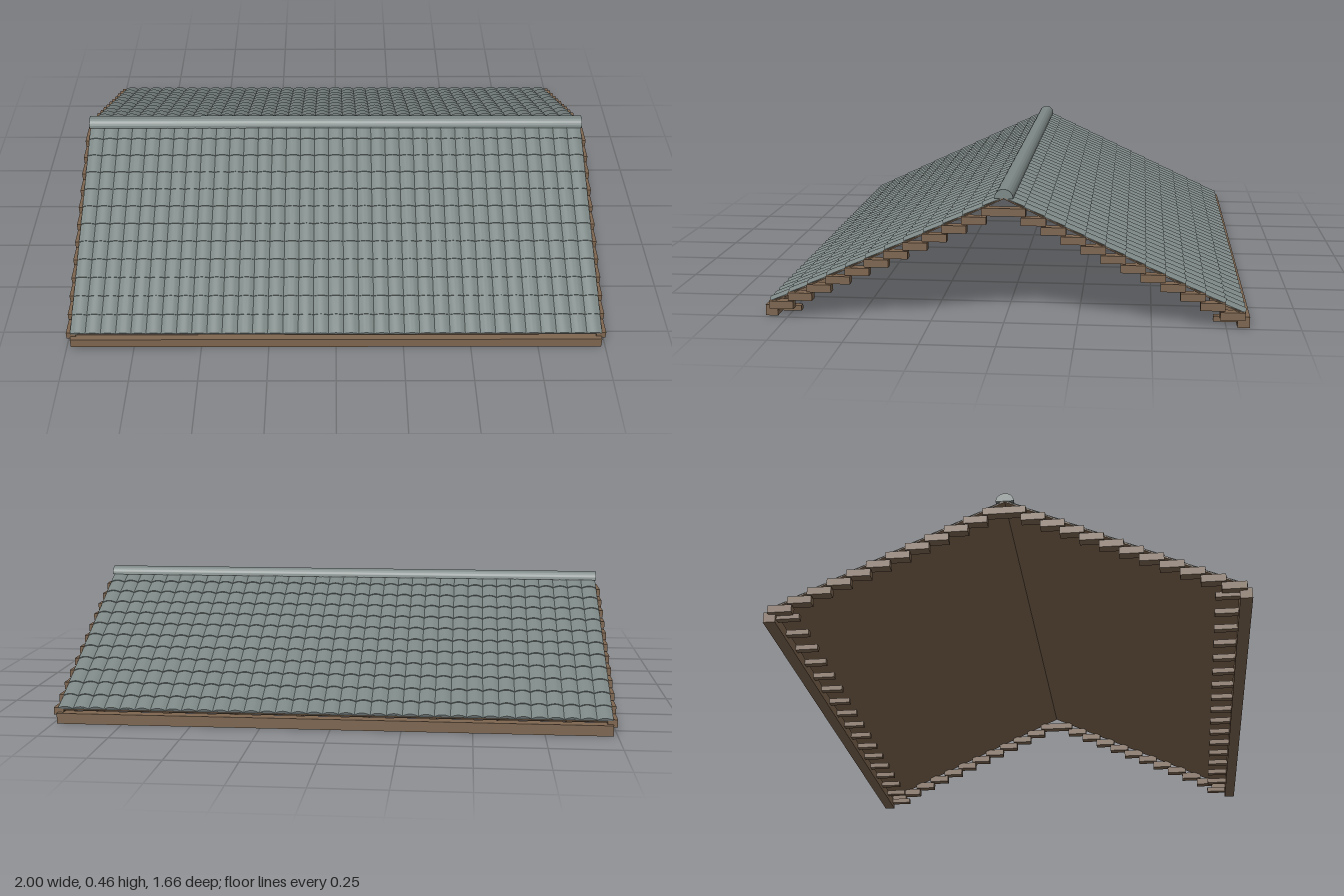
import * as THREE from 'three';
import { toCreasedNormals } from 'three/addons/utils/BufferGeometryUtils.js';

const HALF = 0.985;               // half length of the tiled roof
const PITCH = Math.atan(0.472);
const RUN = 0.81;                 // horizontal depth of one slope
const SLOPE = RUN / Math.cos(PITCH);
const ROWS = 12, COLUMNS = 35;

// One full course of tiles: a row of shallow arches pushed down the slope
function tileCourseGeometry(length) {
  const shape = new THREE.Shape();
  const w = (2 * HALF) / COLUMNS, base = 0.002, rise = 0.009, steps = 8;
  shape.moveTo(-HALF, 0);
  shape.lineTo(HALF, 0);
  for (let i = COLUMNS * steps; i >= 0; i--) {
    const u = (i % steps) / steps;
    shape.lineTo(-HALF + (i / steps) * w, base + rise * 4 * u * (1 - u));
  }
  const g = new THREE.ExtrudeGeometry(shape, { depth: length, bevelEnabled: false });
  return toCreasedNormals(g, 0.6);
}

export function createModel() {
  const tile = new THREE.MeshStandardMaterial({ color: 0x7c8785 });
  tile.name = 'slate grey tile';
  const wood = new THREE.MeshStandardMaterial({ color: 0x7d654f });
  wood.name = 'brown wood';

  const model = new THREE.Group();
  model.name = 'gableRoof';

  function add(parent, name, geometry, material, x = 0, y = 0, z = 0) {
    const mesh = new THREE.Mesh(geometry, material);
    mesh.name = name;
    mesh.position.set(x, y, z);
    parent.add(mesh);
    return mesh;
  }
  const box = (parent, name, w, h, d, x, y, z) =>
    add(parent, name, new THREE.BoxGeometry(w, h, d), wood, x, y, z);

  const rowLength = SLOPE / ROWS;
  const course = tileCourseGeometry(rowLength + 0.004);

  for (const side of ['front', 'back']) {
    const half = new THREE.Group();
    half.name = side + 'Half';
    half.rotation.y = side === 'front' ? 0 : Math.PI;
    model.add(half);

    // Sloping deck with overlapping tile courses
    const slope = new THREE.Group();
    slope.name = 'slope';
    slope.position.y = 0.427;
    slope.rotation.x = PITCH;
    half.add(slope);
    box(slope, 'deck', 2 * HALF, 0.004, SLOPE, 0, 0.002, SLOPE / 2);
    for (let r = 0; r < ROWS; r++) {
      const row = add(slope, 'tileCourse', course, tile, 0, 0.0035, r * rowLength - 0.004);
      row.rotation.x = -0.045;
    }

    // Stepped blocks along both gable ends
    for (const s of [-1, 1]) {
      for (let k = 1; k < ROWS; k++) {
        box(half, 'gableBlock', 0.035, 0.027, 0.084,
          s * 0.9825, 0.3845 - 0.0311 * k, 0.0335 + 0.067 * k);
      }
    }

    // Eave beam and the short rafter ends behind it
    box(half, 'eaveBeam', 2 * HALF, 0.038, 0.042, 0, 0.019, 0.808);
    const rafters = 17;
    for (let i = 0; i < rafters; i++) {
      const x = -0.96 + (1.92 * i) / (rafters - 1);
      box(half, 'rafterEnd', 0.025, 0.019, 0.1, x, 0.025, 0.757);
    }
  }

  // Top block of each gable, shared by both slopes
  for (const s of [-1, 1]) {
    box(model, 'gableTopBlock', 0.035, 0.027, 0.15, s * 0.9825, 0.3845, 0);
  }

  // Rounded ridge cap
  const dome = new THREE.Shape();
  dome.absarc(0, 0, 0.032, 0, Math.PI, false);
  dome.closePath();
  const ridge = toCreasedNormals(new THREE.ExtrudeGeometry(dome,
    { depth: 2 * HALF + 0.004, bevelEnabled: false, curveSegments: 16 }), 0.6);
  ridge.translate(0, 0, -HALF - 0.002);
  ridge.rotateY(Math.PI / 2);
  add(model, 'ridgeCap', ridge, tile, 0, 0.429, 0);

  return model;
}
